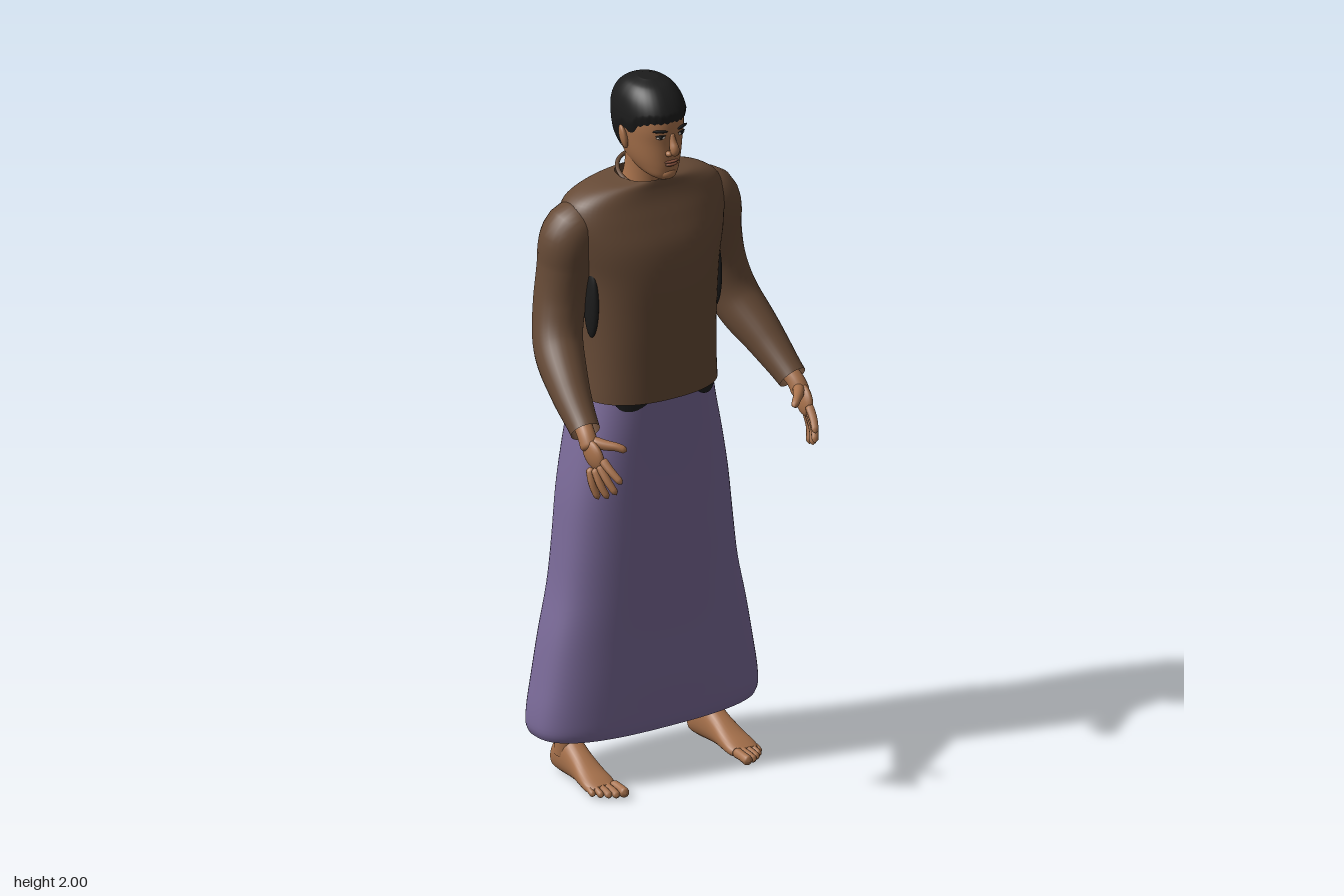
import * as THREE from 'three';
import { mergeVertices } from 'three/addons/utils/BufferGeometryUtils.js';

const material = (name, color, side = THREE.FrontSide) => {
  const m = new THREE.MeshStandardMaterial({ color, side });
  m.name = name;
  return m;
};

// Smooth value of every column of a table at fractional row t
function sample(rows, t) {
  const n = rows.length - 1, i = Math.min(Math.floor(t), n - 1), f = t - i;
  const row = (k) => rows[Math.max(0, Math.min(n, k))];
  return rows[0].map((_, c) => {
    const a = row(i - 1)[c], b = row(i)[c], d = row(i + 1)[c], e = row(i + 2)[c];
    return b + 0.5 * f * (d - a + f * (2 * a - 5 * b + 4 * d - e + f * (3 * (b - d) + e - a)));
  });
}

// Skin over rounded sections [y, half width, front z, back z, tilt]
function loft(sections, { seg = 48, rows = 40, power = 2.2, start = () => 0, grow = () => 0, caps = [false, false] } = {}) {
  const pos = [], index = [], last = sections.length - 1;
  const bend = (v) => Math.sign(v) * Math.abs(v) ** (2 / power);
  for (let i = 0; i <= rows; i++) {
    for (let j = 0; j < seg; j++) {
      const a = (j / seg) * Math.PI * 2, t0 = start(Math.min(a, Math.PI * 2 - a)), v = i / rows;
      const [y, rx, front, back, tilt = 0] = sample(sections, t0 + (last - t0) * v), g = grow(v);
      const dz = bend(Math.cos(a)) * ((front - back) / 2 + g);
      pos.push(bend(Math.sin(a)) * (rx + g), y - tilt * dz + g * v, (front + back) / 2 + dz);
      if (i < rows) {
        const p = i * seg + j, q = i * seg + (j + 1) % seg;
        index.push(p, q, p + seg, q, q + seg, p + seg);
      }
    }
  }
  caps.forEach((on, end) => {
    if (!on) return;
    const [y, , front, back] = sections[end ? last : 0], c = pos.length / 3, base = end ? rows * seg : 0;
    pos.push(0, y + (end ? grow(1) : 0), (front + back) / 2);
    for (let j = 0; j < seg; j++) {
      const p = base + j, q = base + (j + 1) % seg;
      index.push(...(end ? [p, q, c] : [q, p, c]));
    }
  });
  const geo = new THREE.BufferGeometry();
  geo.setAttribute('position', new THREE.Float32BufferAttribute(pos, 3));
  geo.setIndex(index);
  geo.computeVertexNormals();
  return geo;
}

// Limb of changing radius through points [x, y, z, radius], with rounded ends
function limb(points, { seg = 24, sides = 14, roundStart = 0, roundEnd = 0 } = {}) {
  const curve = new THREE.CatmullRomCurve3(points.map((p) => new THREE.Vector3(p[0], p[1], p[2])));
  const tube = new THREE.TubeGeometry(curve, seg, 1, sides), pos = tube.attributes.position, v = new THREE.Vector3();
  const dome = (u, e) => (e && u < e ? Math.sqrt(Math.max(0.0004, 1 - (1 - u / e) ** 2)) : 1);
  for (let i = 0; i <= seg; i++) {
    const u = i / seg, c = curve.getPointAt(u);
    const r = sample(points, u * (points.length - 1))[3] * dome(u, roundStart) * dome(1 - u, roundEnd);
    for (let j = 0; j <= sides; j++) {
      const k = i * (sides + 1) + j;
      v.fromBufferAttribute(pos, k).sub(c).multiplyScalar(r).add(c);
      pos.setXYZ(k, v.x, v.y, v.z);
    }
  }
  tube.deleteAttribute('uv');
  tube.deleteAttribute('normal');
  const geo = mergeVertices(tube, 1e-5);
  geo.computeVertexNormals();
  return geo;
}

export function createModel() {
  const model = new THREE.Group();
  const skin = material('skin', 0xa8724c), lip = material('lip', 0x85503c);
  const shirt = material('brown cloth', 0x664a36, THREE.DoubleSide);
  const skirt = material('purple cloth', 0x7a6a98, THREE.DoubleSide);
  const black = material('black', 0x1c1c1c, THREE.DoubleSide), white = material('eye white', 0xcfc4b8);

  const add = (name, geo, mat, parent = model) => {
    const m = new THREE.Mesh(geo, mat);
    m.name = name;
    parent.add(m);
    return m;
  };
  const blob = (name, mat, p, s, parent = model) => {
    const m = add(name, new THREE.SphereGeometry(1, 20, 14), mat, parent);
    m.position.set(...p);
    m.scale.set(...s);
    return m;
  };

  // Clothes
  add('skirt', loft([
    [0.14, 0.343, 0.03, -0.248], [0.165, 0.352, 0.034, -0.252], [0.22, 0.348, 0.034, -0.252],
    [0.3, 0.334, 0.033, -0.25], [0.42, 0.312, 0.03, -0.247], [0.55, 0.283, 0.03, -0.246],
    [0.68, 0.266, 0.03, -0.246], [0.82, 0.25, 0.03, -0.25], [0.95, 0.226, 0.033, -0.253],
    [1.05, 0.203, 0.038, -0.254], [1.13, 0.186, 0.042, -0.246]], { power: 2.6, seg: 64 }), skirt);
  add('waistband', loft([[1.08, 0.2, 0.042, -0.257], [1.115, 0.196, 0.046, -0.252]],
    { power: 2.6, seg: 96, rows: 3, start: (a) => 1 - 0.9 * Math.max(0, Math.sin(4 * a - 0.8)) }), black);
  add('shirtBody', loft([
    [1.105, 0.205, 0.054, -0.257], [1.2, 0.198, 0.056, -0.246], [1.32, 0.198, 0.06, -0.245],
    [1.45, 0.208, 0.06, -0.253], [1.54, 0.23, 0.047, -0.253], [1.61, 0.245, 0.02, -0.242, 0.03],
    [1.66, 0.236, -0.002, -0.225, 0.08], [1.69, 0.2, -0.012, -0.205, 0.16],
    [1.71, 0.145, -0.016, -0.185, 0.28], [1.72, 0.08, -0.018, -0.168, 0.4]], { power: 2.4, seg: 64 }), shirt);
  const collar = add('collar', new THREE.TorusGeometry(0.077, 0.006, 10, 40), shirt);
  collar.rotation.x = Math.PI / 2 + 0.38;
  collar.position.set(0, 1.722, -0.093);

  // Head and neck
  const skull = [
    [1.732, 0.022, 0.018, -0.03], [1.745, 0.042, 0.029, -0.08], [1.77, 0.057, 0.034, -0.14],
    [1.80, 0.067, 0.035, -0.165], [1.84, 0.074, 0.036, -0.18], [1.88, 0.078, 0.04, -0.187],
    [1.92, 0.077, 0.034, -0.186], [1.955, 0.067, 0.012, -0.17], [1.98, 0.046, -0.02, -0.14],
    [1.991, 0.015, -0.06, -0.1]];
  add('head', loft(skull, { caps: [true, true] }), skin);
  add('neck', limb([[0, 1.65, -0.105, 0.07], [0, 1.72, -0.092, 0.058], [0, 1.82, -0.085, 0.057]], { sides: 24 }), skin);
  const hairline = [[0, 5.6], [0.7, 5.55], [1.1, 5.25], [1.35, 4.5], [1.55, 4.7], [1.8, 4.2], [2.2, 2.8], [3.2, 2.4]];
  add('hair', loft(skull, {
    seg: 96, caps: [false, true], grow: (v) => 0.002 + 0.008 * Math.min(1, v * 6),
    start: (a) => {
      const i = hairline.findIndex((h) => h[0] > a), [a0, t0] = hairline[i - 1], [a1, t1] = hairline[i];
      return t0 + (t1 - t0) * (a - a0) / (a1 - a0) + 0.06 * Math.sin(a * 29);
    },
  }), black);
  add('nose', limb([[0, 1.872, 0.034, 0.007], [0, 1.845, 0.043, 0.009], [0, 1.822, 0.05, 0.013], [0, 1.812, 0.044, 0.011]],
    { roundStart: 0.1, roundEnd: 0.2 }), skin);
  blob('upperLip', lip, [0, 1.789, 0.034], [0.022, 0.004, 0.008]);
  blob('lowerLip', lip, [0, 1.781, 0.034], [0.019, 0.005, 0.008]);
  blob('chin', skin, [0, 1.752, 0.018], [0.024, 0.018, 0.018]);

  for (const s of [1, -1]) {
    const side = s > 0 ? 'left' : 'right';
    const path = (pts) => pts.map(([x, y, z, r]) => [x * s, y, z, r]);

    // Face details
    blob(side + 'Nostril', skin, [0.012 * s, 1.815, 0.039], [0.009, 0.008, 0.011]);
    blob(side + 'Eye', white, [0.033 * s, 1.864, 0.031], [0.013, 0.005, 0.004]).rotation.y = 0.3 * s;
    blob(side + 'Iris', black, [0.033 * s, 1.865, 0.0335], [0.0055, 0.0055, 0.003]);
    blob(side + 'Eyelid', black, [0.033 * s, 1.869, 0.032], [0.015, 0.002, 0.004]).rotation.y = 0.3 * s;
    const brow = blob(side + 'Brow', black, [0.036 * s, 1.883, 0.033], [0.021, 0.0045, 0.004]);
    brow.rotation.set(0, 0.35 * s, 0.08 * s);
    blob(side + 'Ear', skin, [0.081 * s, 1.842, -0.078], [0.01, 0.034, 0.019]).rotation.set(-0.2, 0.3 * s, -0.12 * s);

    // Sleeve and the dark lining at the armpit
    add(side + 'Sleeve', limb(path([
      [0.155, 1.615, -0.11, 0.07], [0.222, 1.59, -0.115, 0.08], [0.24, 1.49, -0.122, 0.074],
      [0.262, 1.38, -0.118, 0.07], [0.288, 1.285, -0.085, 0.066], [0.318, 1.19, 0.015, 0.053],
      [0.336, 1.108, 0.118, 0.041]]), { seg: 48, sides: 28, roundStart: 0.1 }), shirt);
    blob(side + 'ArmpitLining', black, [0.2 * s, 1.39, -0.055], [0.014, 0.1, 0.03]);

    // Hand
    const hand = new THREE.Group();
    hand.name = side + 'Hand';
    model.add(hand);
    add('wrist', limb(path([[0.331, 1.13, 0.09, 0.026], [0.34, 1.1, 0.13, 0.025], [0.343, 1.065, 0.155, 0.026]]),
      { roundEnd: 0.2 }), skin, hand);
    const palm = blob('palm', skin, [0.342 * s, 1.058, 0.165], [0.017, 0.047, 0.036], hand);
    palm.rotation.set(-0.75, 0, -0.12 * s);
    const fingers = [
      [[0.336, 1.055, 0.195], [0.328, 1.028, 0.23], [0.314, 1.0, 0.262]],
      [[0.341, 1.04, 0.19], [0.336, 1.002, 0.222], [0.322, 0.965, 0.248]],
      [[0.347, 1.028, 0.178], [0.345, 0.985, 0.203], [0.332, 0.947, 0.222]],
      [[0.351, 1.025, 0.162], [0.353, 0.98, 0.177], [0.342, 0.937, 0.19]]];
    fingers.forEach((f, i) => add('finger' + (i + 1),
      limb(path(f.map((p, k) => [...p, 0.0125 - 0.0015 * k])), { seg: 12, sides: 10, roundStart: 0.12, roundEnd: 0.15 }), skin, hand));
    add('thumb', limb(path([[0.338, 1.09, 0.145, 0.017], [0.313, 1.085, 0.18, 0.015], [0.29, 1.082, 0.205, 0.012],
      [0.271, 1.072, 0.222, 0.01]]), { seg: 14, roundStart: 0.15, roundEnd: 0.12 }), skin, hand);

    // Leg and foot
    add(side + 'Leg', limb(path([
      [0.228, 0.06, -0.13, 0.036], [0.229, 0.13, -0.125, 0.035], [0.222, 0.22, -0.128, 0.043],
      [0.208, 0.36, -0.128, 0.058], [0.185, 0.54, -0.11, 0.058], [0.13, 0.92, -0.105, 0.08]]),
    { seg: 32, sides: 20 }), skin);
    const foot = new THREE.Group();
    foot.name = side + 'Foot';
    foot.position.x = 0.23 * s;
    foot.rotation.y = 0.05 * s;
    model.add(foot);
    // Sections run from heel to ball: [z, half width, -bottom, -top]
    add('sole', loft([
      [-0.187, 0.012, -0.02, -0.045], [-0.178, 0.029, -0.004, -0.075], [-0.15, 0.036, 0, -0.11],
      [-0.11, 0.036, 0, -0.115], [-0.06, 0.037, -0.002, -0.088], [-0.01, 0.043, -0.001, -0.06],
      [0.03, 0.046, 0, -0.042], [0.055, 0.036, -0.004, -0.03]], { seg: 28, caps: [true, true] }).rotateX(Math.PI / 2), skin, foot);
    [[-0.035, 0.113, 0.015], [-0.013, 0.107, 0.011], [0.005, 0.097, 0.0105], [0.022, 0.083, 0.01], [0.037, 0.065, 0.0095]]
      .forEach(([x, z, r], i) => add('toe' + (i + 1), limb(path([
        [x * 0.9, 0.022, z - 0.07, r], [x, 0.02, z - 0.03, r * 0.9], [x, r, z, r]]),
      { seg: 14, sides: 10, roundStart: 0.15, roundEnd: 0.18 }), skin, foot));
  }
  return model;
}
